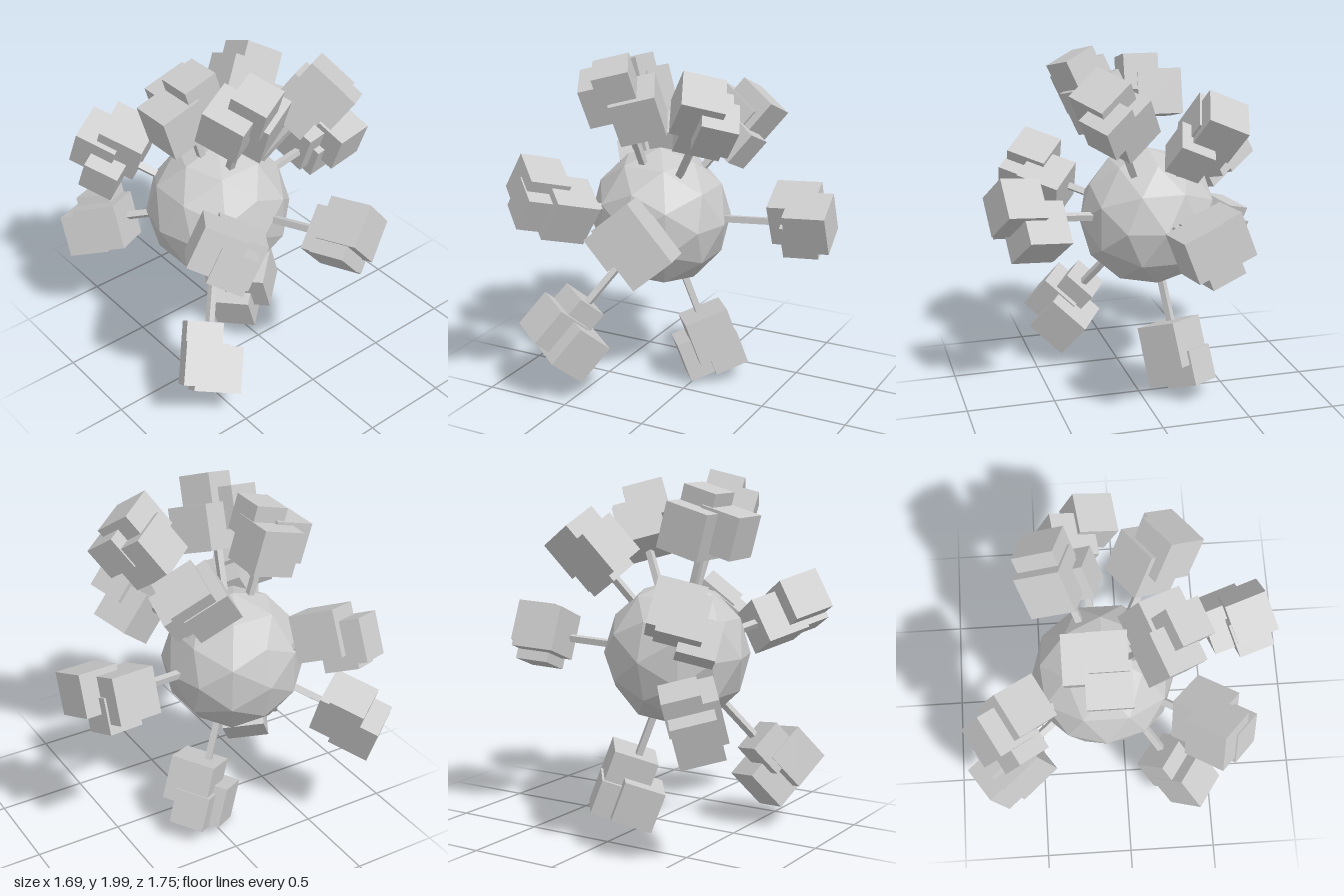
import * as THREE from 'three';

const CORE = new THREE.Vector3(-0.2, 1.02, -0.11);
const UP = new THREE.Vector3(0, 1, 0);
const SIZES = [0.255, 0.235, 0.2];
const material = new THREE.MeshStandardMaterial({ color: 0xcccccc, flatShading: true });

const point = (x, y, z) => new THREE.Vector3(x, y, z);

// Three cubes on a stalk, aligned to the direction away from the ball and rolled about it
function makeCluster(name, roll, ...centres) {
  const group = new THREE.Group();
  group.name = name + 'Cluster';
  const axis = centres.reduce((sum, c) => sum.add(c), point(0, 0, 0))
    .divideScalar(centres.length).sub(CORE);
  const reach = axis.length();
  axis.normalize();
  const lean = new THREE.Quaternion().setFromUnitVectors(UP, axis);
  const spin = new THREE.Quaternion().setFromAxisAngle(UP, THREE.MathUtils.degToRad(roll));

  centres.forEach((centre, i) => {
    const cube = new THREE.Mesh(new THREE.BoxGeometry(SIZES[i], SIZES[i], SIZES[i]), material);
    cube.name = 'cube';
    cube.position.copy(centre);
    cube.quaternion.multiplyQuaternions(lean, spin);
    group.add(cube);
  });

  // Thin stalk from inside the ball to the middle of the cluster
  const length = reach - 0.33;
  const stalk = new THREE.Mesh(new THREE.BoxGeometry(0.036, length, 0.036), material);
  stalk.name = 'stalk';
  stalk.position.copy(CORE).addScaledVector(axis, reach - length / 2);
  stalk.quaternion.copy(lean);
  group.add(stalk);
  return group;
}

export function createModel() {
  const model = new THREE.Group();

  // Faceted ball in the middle
  const core = new THREE.Mesh(new THREE.IcosahedronGeometry(0.4, 1), material);
  core.name = 'core';
  core.position.copy(CORE);
  model.add(core);

  // Upper clusters
  model.add(
    makeCluster('topFront', 25, point(-0.18, 1.7, 0.18), point(-0.36, 1.77, 0.21), point(-0.26, 1.86, 0.28)),
    makeCluster('topRight', 0, point(-0.35, 1.7, -0.19), point(-0.49, 1.69, -0.09), point(-0.36, 1.82, -0.09)),
    makeCluster('topBack', -10, point(0.14, 1.57, -0.36), point(0.24, 1.62, -0.38), point(0.21, 1.48, -0.23)),
    makeCluster('topLeft', 30, point(0.19, 1.66, 0.14), point(0.21, 1.77, 0.24), point(0.31, 1.67, 0.24)),
  );

  // Middle clusters
  model.add(
    makeCluster('middleRightFront', 30, point(-0.51, 1.16, 0.42), point(-0.65, 1.28, 0.46), point(-0.62, 1.2, 0.54)),
    makeCluster('middleRightBack', 20, point(-0.48, 1.32, -0.58), point(-0.58, 1.3, -0.68), point(-0.62, 1.18, -0.59)),
    makeCluster('middleFront', 56, point(0.07, 1.06, 0.59), point(0.05, 1.2, 0.7), point(-0.03, 1.14, 0.7)),
    makeCluster('middleLeft', 28, point(0.57, 1.1, -0.27), point(0.7, 1.1, -0.14), point(0.62, 1.0, -0.24)),
  );

  // Lower clusters
  model.add(
    makeCluster('lowerRightBack', 52, point(-0.62, 0.81, -0.61), point(-0.67, 0.74, -0.7), point(-0.59, 0.86, -0.69)),
    makeCluster('lowerRightFront', 30, point(-0.56, 0.3, 0.31), point(-0.66, 0.41, 0.34), point(-0.59, 0.47, 0.23)),
    makeCluster('bottom', 5, point(0.08, 0.33, -0.18), point(0, 0.18, -0.21), point(0.13, 0.2, -0.26)),
  );
  return model;
}
